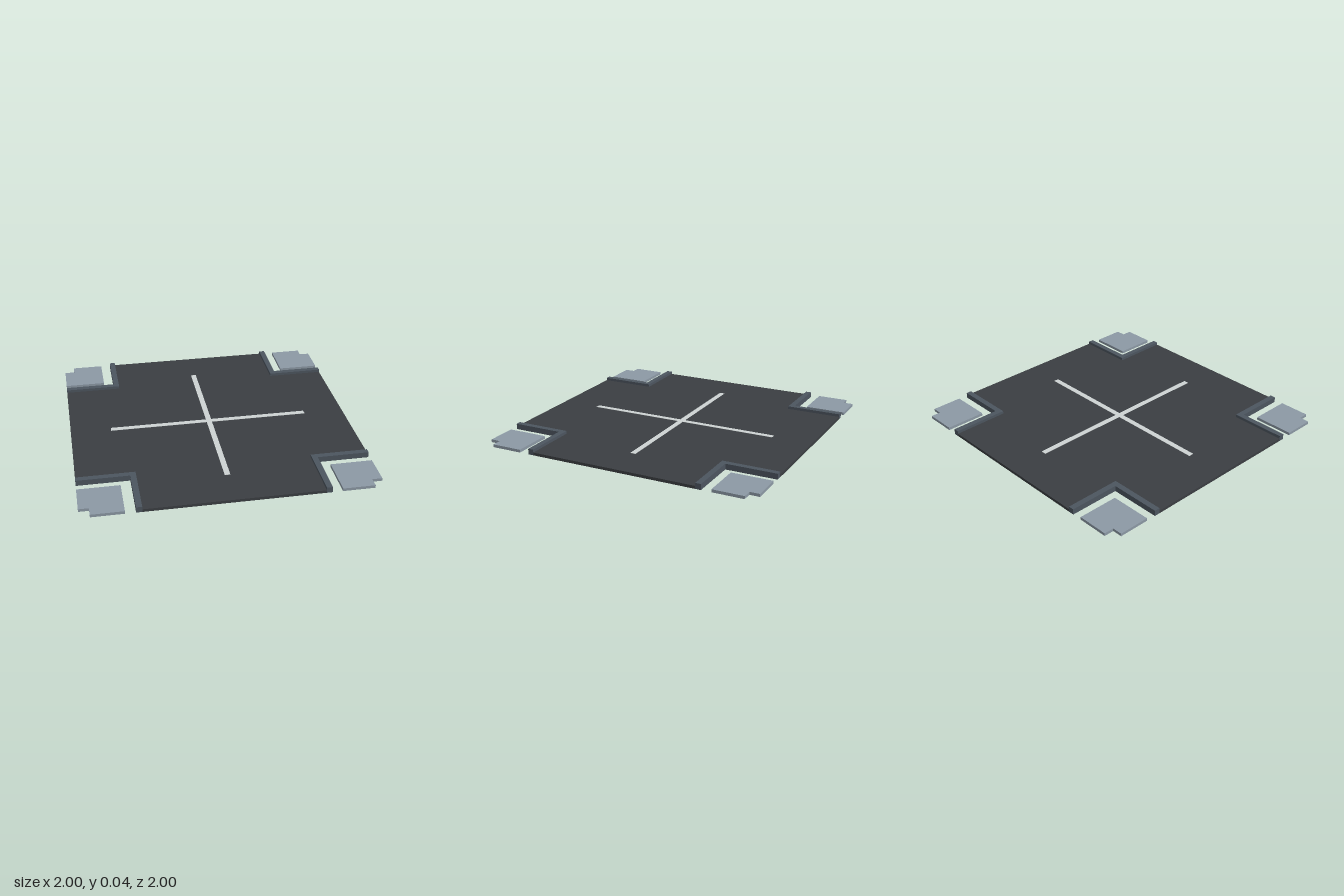
import * as THREE from 'three';

const material = (color) => new THREE.MeshStandardMaterial({ color });

// Extrude a plan outline (x, z) upward from y = 0
function slab(name, points, height, mat) {
  const shape = new THREE.Shape(points.map(([x, z]) => new THREE.Vector2(x, -z)));
  const geometry = new THREE.ExtrudeGeometry(shape, { depth: height, bevelEnabled: false });
  geometry.rotateX(-Math.PI / 2);
  const mesh = new THREE.Mesh(geometry, mat);
  mesh.name = name;
  return mesh;
}

export function createModel() {
  const group = new THREE.Group();
  group.name = 'crossroads';
  const asphalt = material(0x3b3e42);
  const kerbStone = material(0x4c555f);
  const paving = material(0x8c99a5);
  const paint = material(0xcdd3d3);

  const roadHalf = 0.6, kerbOuter = 0.64, paveInner = 0.71, notch = 0.93;
  const roadTop = 0.02, kerbTop = 0.04, lineTop = 0.022;

  // Cross-shaped road surface
  const r = roadHalf;
  group.add(slab('road', [
    [-r, -1], [r, -1], [r, -r], [1, -r], [1, r], [r, r],
    [r, 1], [-r, 1], [-r, r], [-1, r], [-1, -r], [-r, -r],
  ], roadTop, asphalt));

  // Four corners: L-shaped kerb and notched pavement
  for (let i = 0; i < 4; i++) {
    const corner = new THREE.Group();
    corner.name = 'corner' + (i + 1);
    corner.rotation.y = i * Math.PI / 2;
    corner.add(slab('kerb', [
      [r, r], [1, r], [1, kerbOuter], [kerbOuter, kerbOuter], [kerbOuter, 1], [r, 1],
    ], kerbTop, kerbStone));
    corner.add(slab('pavement', [
      [paveInner, paveInner], [1, paveInner], [1, notch], [notch, notch], [notch, 1], [paveInner, 1],
    ], roadTop, paving));
    group.add(corner);
  }

  // Crossed centre lines
  const w = 0.019, l = 0.714;
  const lines = slab('centreLines', [
    [-w, -l], [w, -l], [w, -w], [l, -w], [l, w], [w, w],
    [w, l], [-w, l], [-w, w], [-l, w], [-l, -w], [-w, -w],
  ], lineTop - roadTop, paint);
  lines.position.y = roadTop;
  group.add(lines);

  return group;
}
